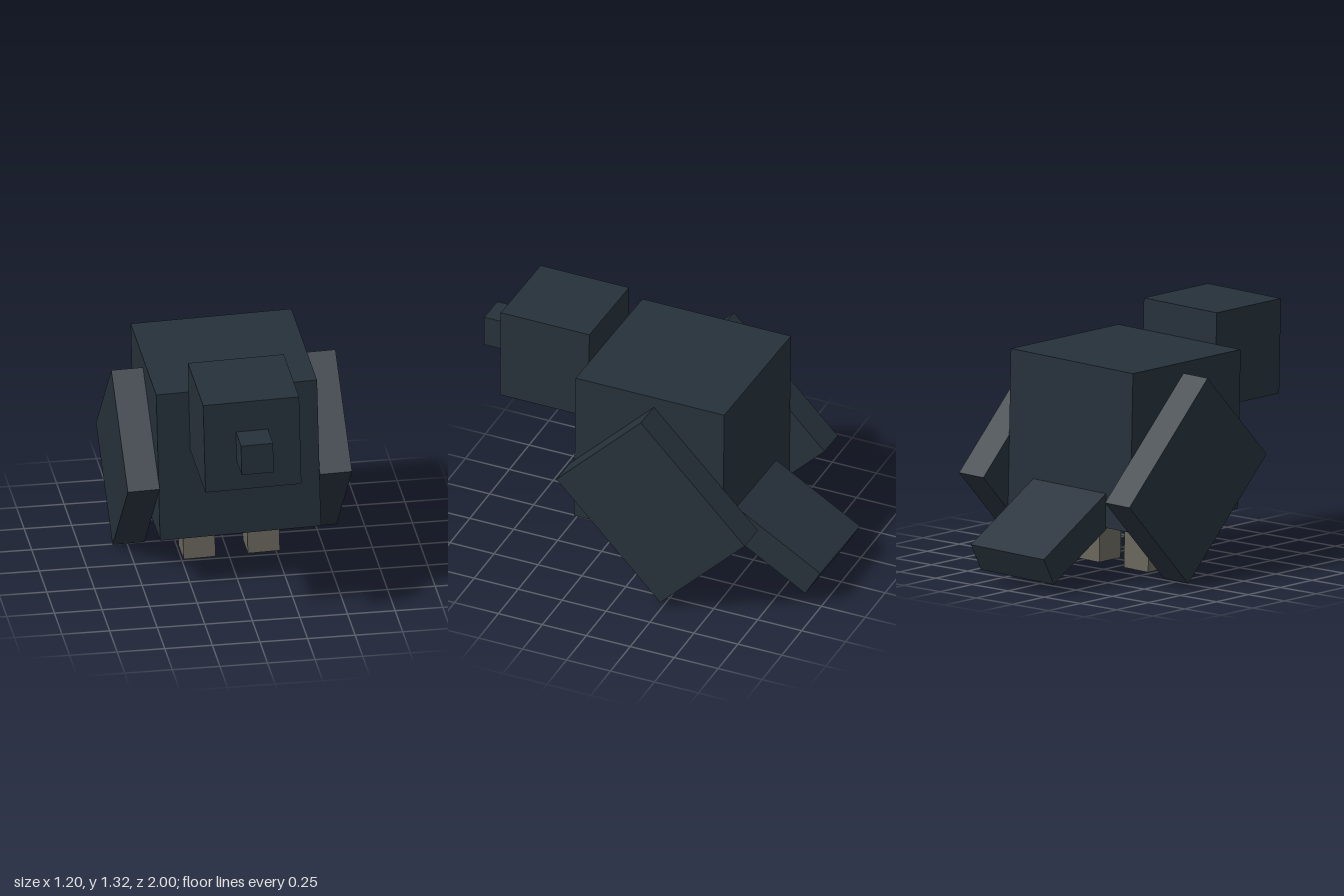
import * as THREE from 'three';

export function createModel() {
  const plumage = new THREE.MeshStandardMaterial({ color: 0x26313a });
  plumage.name = 'dark plumage';
  const legGrey = new THREE.MeshStandardMaterial({ color: 0x6a665d });
  legGrey.name = 'leg grey';

  const U = 0.168; // block unit shared by all parts
  const bird = new THREE.Group();
  bird.name = 'blockBird';

  // Box sized in block units, placed by its centre and pitched about x
  function block(name, size, pos, material = plumage, pitch = 0) {
    const mesh = new THREE.Mesh(new THREE.BoxGeometry(...size.map((s) => s * U)), material);
    mesh.name = name;
    mesh.position.set(...pos);
    mesh.rotation.x = THREE.MathUtils.degToRad(pitch);
    bird.add(mesh);
  }

  block('body', [5.03, 5.03, 5.03], [0, 0.727, -0.095]);
  block('head', [3, 3, 3], [0, 1.065, 0.58]);
  block('beak', [1, 1, 1], [0, 1.063, 0.916]);
  block('tail', [3, 1, 4], [0, 0.303, -0.665], plumage, -30);

  // Wings swept back and a pair of legs
  for (const [side, s] of [['left', 1], ['right', -1]]) {
    block(side + 'Wing', [1, 5.03, 4], [s * 0.505, 0.555, -0.18], plumage, 45);
    block(side + 'Leg', [1, 2, 1], [s * 0.169, 0.015 + U, -0.091], legGrey);
  }

  // Slight sideways lean of the whole bird
  bird.rotation.z = 0.0244;
  bird.position.x = 0.0125;

  const model = new THREE.Group();
  model.name = 'model';
  model.add(bird);
  return model;
}
